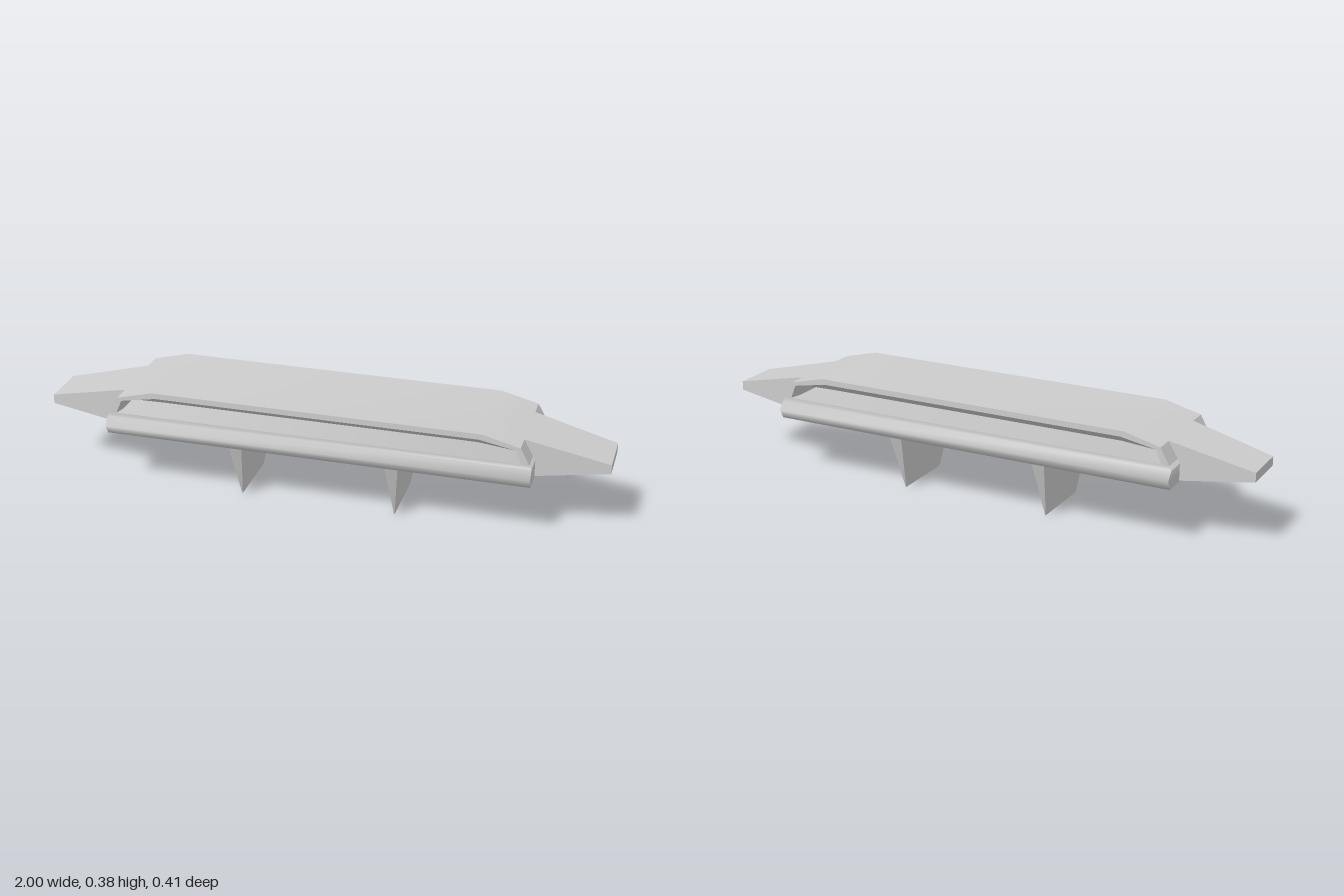
import * as THREE from 'three';
import { toCreasedNormals } from 'three/addons/utils/BufferGeometryUtils.js';

// Skin a list of equal-length rings with quads; optionally close each ring and cap both ends.
function loft(rings, { closed = true, caps = true, crease = 0.3 } = {}) {
  const pos = [];
  const tri = (a, b, c) => pos.push(...a, ...b, ...c);
  const n = rings[0].length;
  for (let i = 0; i < rings.length - 1; i++) {
    for (let j = 0; j < (closed ? n : n - 1); j++) {
      const k = (j + 1) % n;
      tri(rings[i][j], rings[i][k], rings[i + 1][k]);
      tri(rings[i][j], rings[i + 1][k], rings[i + 1][j]);
    }
  }
  if (caps) {
    const first = rings[0], last = rings[rings.length - 1];
    for (let j = 1; j < n - 1; j++) {
      tri(first[0], first[j + 1], first[j]);
      tri(last[0], last[j], last[j + 1]);
    }
  }
  const geo = new THREE.BufferGeometry();
  geo.setAttribute('position', new THREE.Float32BufferAttribute(pos, 3));
  return toCreasedNormals(geo, crease);
}

// Horizontal rectangle at height y
const rectY = ([y, hx, hz]) => [[-hx, y, hz], [hx, y, hz], [hx, y, -hz], [-hx, y, -hz]];

// Upright rectangle at position x
const rectX = (x, y0, y1, hz) => [[x, y1, -hz], [x, y1, hz], [x, y0, hz], [x, y0, -hz]];

// Mirrored arch through three right-hand points, listed from the foot up
const arch = (half, z) => [
  ...half.map(([x, y]) => [-x, y, z]),
  ...half.slice().reverse().map(([x, y]) => [x, y, z]),
];

export function createModel() {
  const model = new THREE.Group();
  const grey = new THREE.MeshStandardMaterial({ color: 0xcccccc });
  grey.name = 'light grey';

  const add = (name, geometry) => {
    const mesh = new THREE.Mesh(geometry, grey);
    mesh.name = name;
    model.add(mesh);
    return mesh;
  };

  // Lower body with a rounded bulge along both long sides
  add('lowerBody', loft([
    [0.205, 0.735, 0.17], [0.206, 0.75, 0.185], [0.239, 0.75, 0.204],
    [0.27, 0.75, 0.18], [0.285, 0.742, 0.18],
  ].map(rectY), { crease: 1.4 }));

  // Roof and end walls around the long slot, which narrows inwards from each side
  const outer = [[0.742, 0.285], [0.71, 0.343], [0.58, 0.376]];
  const mouth = [[0.715, 0.285], [0.695, 0.333], [0.57, 0.356]];
  const throat = [[0.705, 0.285], [0.69, 0.325], [0.56, 0.327]];
  add('roof', loft([
    arch(outer, 0.18), arch(outer, -0.18), arch(mouth, -0.18),
    arch(throat, -0.14), arch(throat, 0.14), arch(mouth, 0.18), arch(outer, 0.18),
  ], { closed: false, caps: false, crease: 0.3 }));

  // Tapered end wings and the two wedge fins below
  const wing = loft([rectX(0.71, 0.206, 0.343, 0.11), rectX(1, 0.243, 0.276, 0.085)]);
  const fin = loft([rectY([0, 0.001, 0.12]), rectY([0.208, 0.023, 0.185])]);
  for (const [side, s] of [['left', 1], ['right', -1]]) {
    add(side + 'Wing', wing).rotation.y = s > 0 ? 0 : Math.PI;
    add(side + 'Fin', fin).position.x = s * 0.277;
  }

  return model;
}
